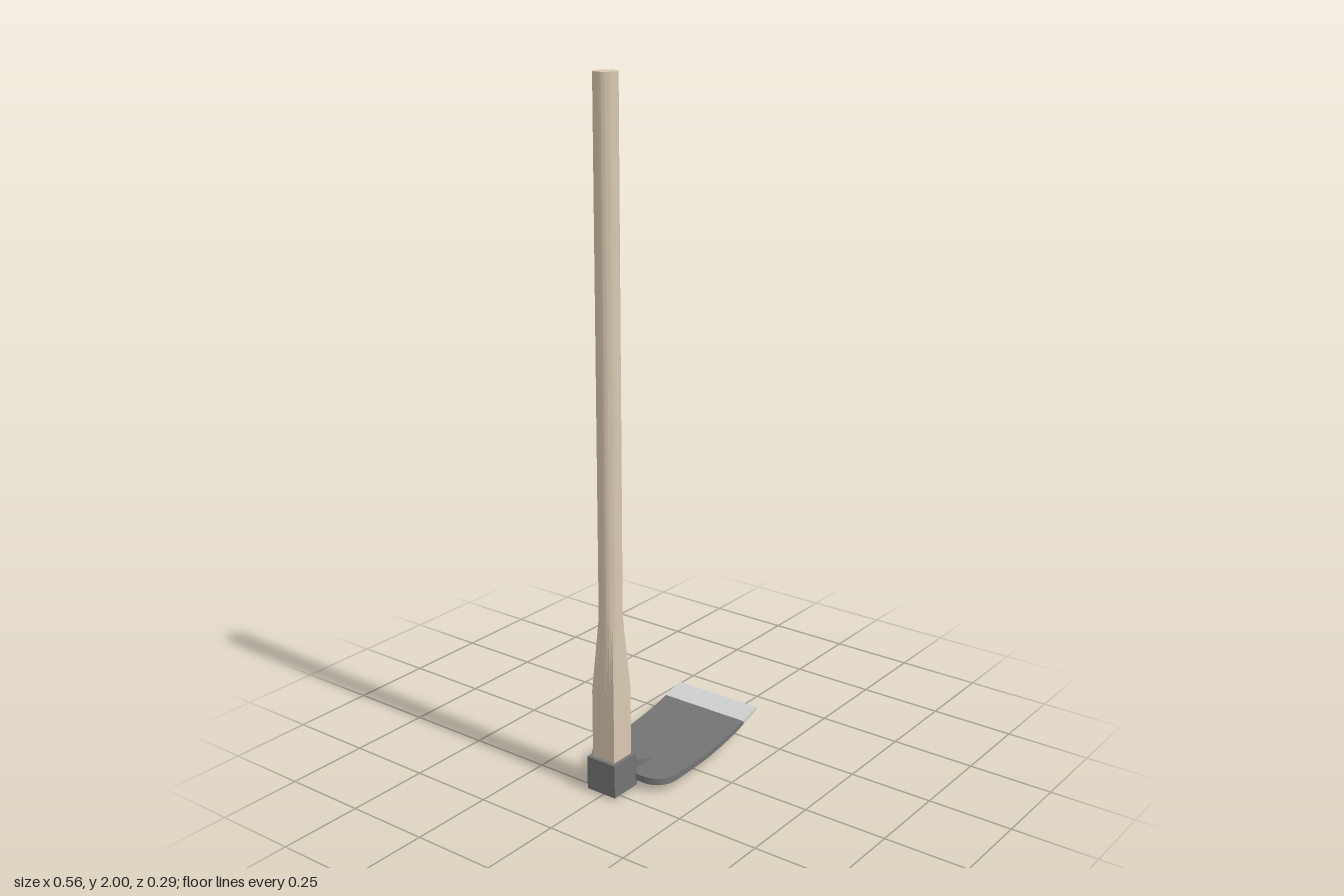
import * as THREE from 'three';
import { toCreasedNormals } from 'three/addons/utils/BufferGeometryUtils.js';

const AXIS_X = -0.233; // handle centre line

// Closed solid through equal-sized rings of [x, y, z] points
function loft(rings, crease = 0.45) {
  const pos = [];
  const tri = (a, b, c) => pos.push(...a, ...b, ...c);
  const n = rings[0].length;
  for (let i = 0; i < rings.length - 1; i++) {
    for (let j = 0; j < n; j++) {
      const k = (j + 1) % n;
      const a = rings[i][j], b = rings[i][k], c = rings[i + 1][k], d = rings[i + 1][j];
      tri(a, b, c);
      tri(a, c, d);
    }
  }
  const first = rings[0], last = rings[rings.length - 1];
  for (let j = 1; j < n - 1; j++) {
    tri(first[0], first[j + 1], first[j]);
    tri(last[0], last[j], last[j + 1]);
  }
  const geo = new THREE.BufferGeometry();
  geo.setAttribute('position', new THREE.Float32BufferAttribute(pos, 3));
  return toCreasedNormals(geo, crease);
}

// Square (t = 0) to round (t = 1) handle section
function handleRing(y, t) {
  const ring = [];
  for (let j = 0; j < 48; j++) {
    const a = (j / 48) * Math.PI * 2, c = Math.cos(a), s = Math.sin(a);
    const square = 0.038 / Math.max(Math.abs(c), Math.abs(s));
    const r = THREE.MathUtils.lerp(square, 0.033, t);
    ring.push([AXIS_X + r * c, y, -r * s]);
  }
  return ring;
}

// Blade section: flat at the back, sweeping upward and thinning to the tip
const BACK = -0.19, TIP = 0.28, HALF = 0.144, CORNER = 0.065;
function bladeRing(x) {
  const u = Math.max(0, x + 0.05);
  const y = 0.036 + 0.5 * u * u, angle = Math.atan(u);
  const h = THREE.MathUtils.lerp(0.01, 0.005, (x - BACK) / (TIP - BACK));
  const d = Math.max(0, BACK + CORNER - x);
  const w = HALF - CORNER + Math.sqrt(Math.max(0, CORNER * CORNER - d * d));
  const dx = h * Math.sin(angle), dy = h * Math.cos(angle);
  return [[x + dx, y - dy, -w], [x - dx, y + dy, -w], [x - dx, y + dy, w], [x + dx, y - dy, w]];
}

export function createModel() {
  const model = new THREE.Group();
  const material = (name, color) => {
    const m = new THREE.MeshStandardMaterial({ color });
    m.name = name;
    return m;
  };
  const wood = material('pale wood', 0xd8c8b0);
  const iron = material('dark iron', 0x747474);
  const steel = material('sharpened steel', 0xd0d0d0);
  const add = (name, geo, mat) => {
    const mesh = new THREE.Mesh(geo, mat);
    mesh.name = name;
    model.add(mesh);
    return mesh;
  };

  // Handle, square at the foot and round above
  add('handle', loft([handleRing(0, 0), handleRing(0.31, 0), handleRing(0.53, 1), handleRing(2, 1)], 0.3), wood);

  // Socket block around the foot of the handle
  add('socket', new THREE.BoxGeometry(0.1, 0.1, 0.098), iron).position.set(AXIS_X, 0.058, 0);

  // Blade with rounded back corners
  const stations = [];
  for (let i = 0; i <= 10; i++) stations.push(BACK + CORNER * (1 - Math.cos((i / 10) * Math.PI / 2)));
  for (let i = 1; i <= 16; i++) stations.push(THREE.MathUtils.lerp(BACK + CORNER, 0.212, i / 16));
  add('blade', loft(stations.map(bladeRing)), iron);

  // Bright cutting edge
  add('cuttingEdge', loft([0.212, 0.235, 0.258, TIP].map(bladeRing)), steel);

  // Wedge-shaped rib joining socket and blade
  const profile = new THREE.Shape([
    new THREE.Vector2(-0.2, 0.035), new THREE.Vector2(-0.09, 0.035),
    new THREE.Vector2(-0.09, 0.046), new THREE.Vector2(-0.184, 0.078), new THREE.Vector2(-0.2, 0.078),
  ]);
  add('rib', new THREE.ExtrudeGeometry(profile, { depth: 0.062, bevelEnabled: false }), iron).position.z = -0.031;

  return model;
}
